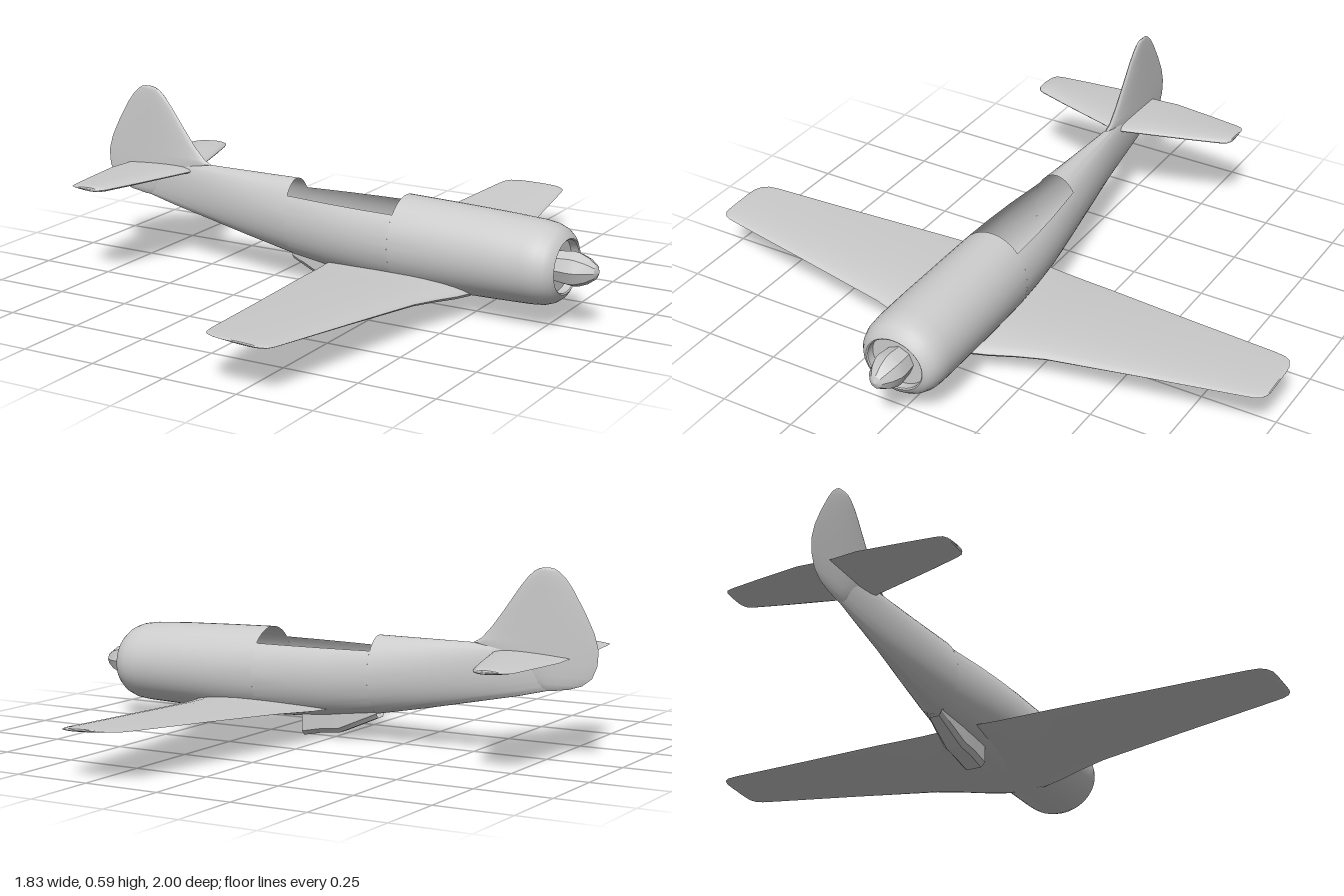
import * as THREE from 'three';
import { mergeGeometries, toCreasedNormals } from 'three/addons/utils/BufferGeometryUtils.js';

const grey = new THREE.MeshStandardMaterial({ color: 0xcccccc, side: THREE.DoubleSide });

// Skin a list of cross-sections, each an array of Vector3 of equal length
function loft(sections, closed = false) {
  const n = sections[0].length, index = [];
  const geometry = new THREE.BufferGeometry().setFromPoints(sections.flat());
  for (let i = 0; i < sections.length - 1; i++) {
    for (let j = 0; j < (closed ? n : n - 1); j++) {
      const k = (j + 1) % n;
      const a = i * n + j, b = a + n, c = (i + 1) * n + k, d = i * n + k;
      index.push(a, b, c, a, c, d);
    }
  }
  geometry.setIndex(index);
  return geometry;
}

function part(name, geometry, crease = 0.7) {
  const mesh = new THREE.Mesh(toCreasedNormals(geometry, crease), grey);
  mesh.name = name;
  return mesh;
}

// Hull stations: [x, top, bottom, half width]
const hull = [
  [-0.76, 0.335, 0.215, 0.006], [-0.65, 0.343, 0.188, 0.016], [-0.5, 0.345, 0.157, 0.033],
  [-0.33, 0.345, 0.122, 0.058], [-0.16, 0.345, 0.09, 0.082],
  [0, 0.347, 0.069, 0.107], [0.12, 0.347, 0.06, 0.12], [0.245, 0.345, 0.055, 0.129],
  [0.4, 0.341, 0.055, 0.134], [0.58, 0.335, 0.059, 0.138], [0.71, 0.328, 0.063, 0.14],
  [0.75, 0.322, 0.067, 0.138], [0.778, 0.311, 0.077, 0.129], [0.795, 0.297, 0.09, 0.116],
  [0.805, 0.28, 0.107, 0.1],
  // intake lip, recess and back wall
  [0.802, 0.276, 0.111, 0.096], [0.775, 0.276, 0.111, 0.096], [0.775, 0.194, 0.194, 0],
];

// Elliptical hull section, cut off above the cockpit sill when open
function hullSection([x, top, bottom, w], open) {
  const c = (top + bottom) / 2, h = (top - bottom) / 2, n = 48;
  const start = open ? Math.acos((0.3 - c) / h) : 0;
  return Array.from({ length: n + 1 }, (_, j) => {
    const a = start + (2 * Math.PI - 2 * start) * j / n;
    return new THREE.Vector3(x, c + h * Math.cos(a), -w * Math.sin(a));
  });
}

// Closed aerofoil section from row [span, trailing x, leading x, thickness, height]
function foil([span, trail, lead, thick, height = 0], place) {
  const n = 24;
  return Array.from({ length: n }, (_, j) => {
    const a = 2 * Math.PI * j / n, c = (1 + Math.cos(a)) / 2;
    const half = 5 * (0.2969 * Math.sqrt(c) - 0.126 * c - 0.3516 * c ** 2 + 0.2843 * c ** 3 - 0.1015 * c ** 4);
    const t = height + Math.sign(Math.sin(a)) * half * thick;
    return place(lead + (trail - lead) * c, t, span);
  });
}

// Repeat the rows of one half on the other side
const mirrorRows = rows => [...rows.map(([s, ...rest]) => [-s, ...rest]).reverse(), ...rows];

export function createModel() {
  const group = new THREE.Group();

  // Fuselage: closed tail, open cockpit bay, closed nose
  const bays = [[0, 5, false], [4, 8, true], [7, hull.length, false]];
  group.add(part('fuselage', mergeGeometries(bays.map(([from, to, open]) =>
    loft(hull.slice(from, to).map(s => hullSection(s, open)))))));

  // Main wing, slightly nose-down with shallow dihedral
  const wing = mirrorRows([
    [0.06, -0.005, 0.515, 0.06, 0.089], [0.13, 0.005, 0.495, 0.054, 0.092],
    [0.22, 0.02, 0.467, 0.046, 0.1], [0.31, 0.034, 0.445, 0.04, 0.108],
    [0.62, 0.08, 0.402, 0.026, 0.129], [0.93, 0.122, 0.36, 0.015, 0.149],
    [0.965, 0.13, 0.354, 0.013, 0.151], [0.985, 0.144, 0.345, 0.011, 0.152],
    [0.997, 0.172, 0.328, 0.008, 0.153], [1, 0.2, 0.31, 0.001, 0.153],
  ]);
  group.add(part('wing', loft(wing.map(r => foil(r, (x, t, s) =>
    new THREE.Vector3(x, t - 0.04 * (x - 0.25), s))), true)));

  // Tailplane
  const tail = mirrorRows([
    [0.01, -0.825, -0.565, 0.025], [0.1, -0.833, -0.592, 0.024], [0.24, -0.817, -0.634, 0.022],
    [0.345, -0.803, -0.668, 0.02], [0.365, -0.797, -0.677, 0.017],
    [0.374, -0.782, -0.693, 0.012], [0.376, -0.765, -0.71, 0.001],
  ]);
  group.add(part('tailplane', loft(tail.map(r => foil(r, (x, t, s) =>
    new THREE.Vector3(x, 0.317 + t, s))), true)));

  // Fin and rudder
  const fin = [
    [0.213, -0.765, -0.735, 0.002], [0.222, -0.82, -0.72, 0.012], [0.235, -0.862, -0.7, 0.018],
    [0.26, -0.895, -0.66, 0.022], [0.3, -0.912, -0.6, 0.026], [0.345, -0.915, -0.495, 0.028],
    [0.36, -0.912, -0.523, 0.026], [0.4, -0.9, -0.56, 0.023], [0.46, -0.87, -0.605, 0.02],
    [0.53, -0.828, -0.655, 0.016], [0.56, -0.805, -0.68, 0.014], [0.578, -0.785, -0.7, 0.011],
    [0.587, -0.77, -0.718, 0.008], [0.59, -0.755, -0.732, 0.001],
  ];
  group.add(part('fin', loft(fin.map(r => foil(r, (x, t, s) => new THREE.Vector3(x, s, -t))), true)));

  // Belly scoop, open at the front: [x, bottom, half width]
  const scoop = [[-0.165, 0.078, 0.026], [-0.03, 0.02, 0.038], [0.03, 0.015, 0.04], [0.105, 0, 0.04]];
  group.add(part('bellyScoop', loft(scoop.map(([x, b, w]) => [
    [0.1, -w], [b + 0.015, -w], [b, -w * 0.65], [b, w * 0.65], [b + 0.015, w], [0.1, w],
  ].map(([y, z]) => new THREE.Vector3(x, y, z)))), 0.3));

  // Faceted eight-sided spinner
  const profile = [[0, 0], [0.05, 0], [0.056, 0.05], [0.054, 0.07], [0.042, 0.1], [0.022, 0.127], [0, 0.137]]
    .map(([r, y]) => new THREE.Vector2(r, y));
  const spinner = part('spinner', new THREE.LatheGeometry(profile, 8), 0.5);
  spinner.rotation.z = -Math.PI / 2;
  spinner.position.set(0.774, 0.19, 0);
  group.add(spinner);

  return group;
}
